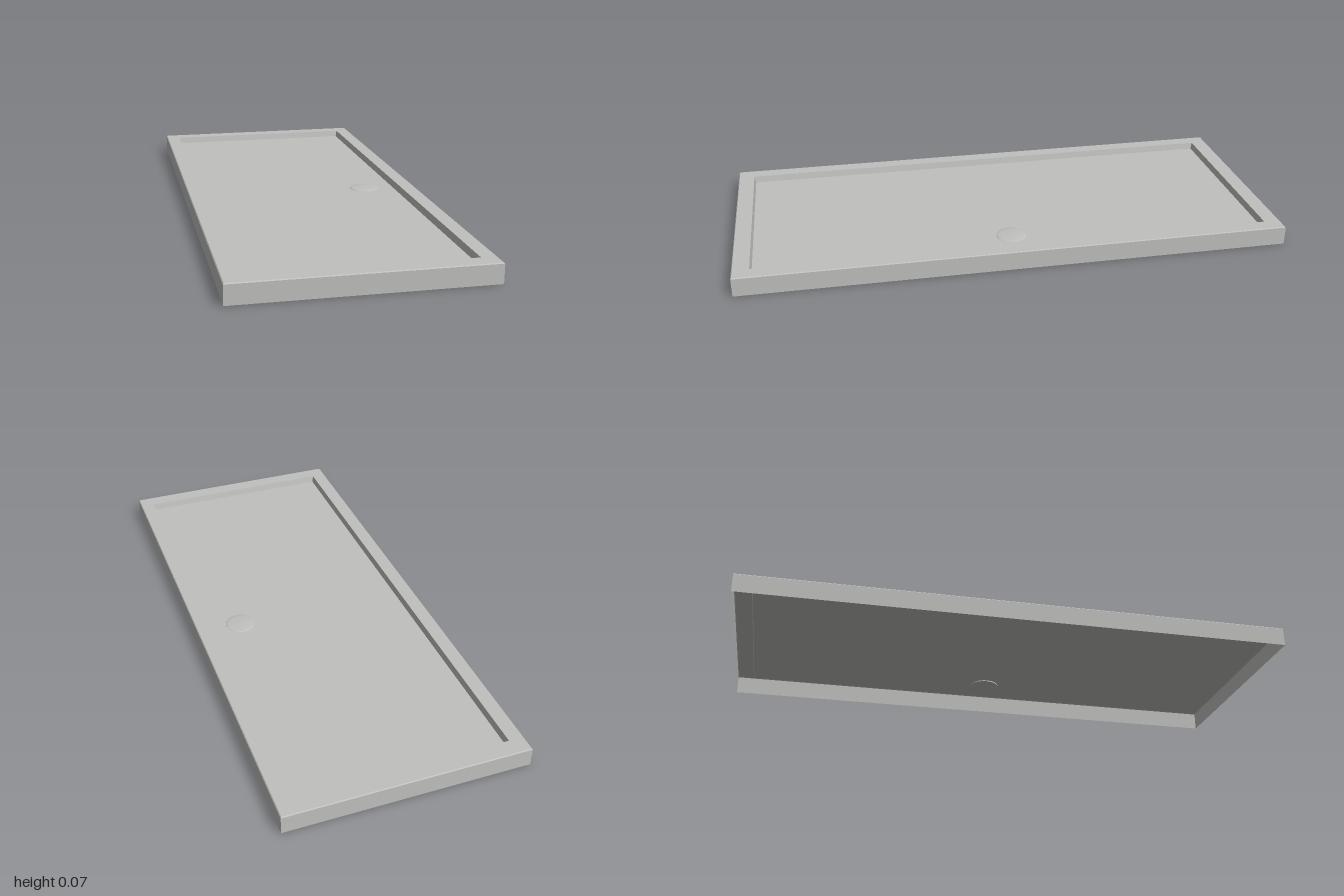
import * as THREE from 'three';

// Open shell made of rectangular bands; each loop is [halfX, halfZ, y]
function bands(loops) {
  const pos = [];
  const corner = ([hx, hz, y], i) => {
    const [sx, sz] = [[1, 1], [1, -1], [-1, -1], [-1, 1]][i % 4];
    return [sx * hx, y, sz * hz];
  };
  for (let k = 0; k < loops.length - 1; k++) {
    for (let i = 0; i < 4; i++) {
      const a = corner(loops[k], i), b = corner(loops[k], i + 1);
      const c = corner(loops[k + 1], i + 1), d = corner(loops[k + 1], i);
      pos.push(...a, ...b, ...c, ...a, ...c, ...d);
    }
  }
  const g = new THREE.BufferGeometry();
  g.setAttribute('position', new THREE.Float32BufferAttribute(pos, 3));
  g.computeVertexNormals();
  return g;
}

export function createModel() {
  const group = new THREE.Group();
  group.name = 'showerTray';
  const enamel = new THREE.MeshStandardMaterial({ color: 0xc0c0be, side: THREE.DoubleSide });
  enamel.name = 'light grey enamel';
  const add = (name, geometry, x = 0, y = 0, z = 0) => {
    const mesh = new THREE.Mesh(geometry, enamel);
    mesh.name = name;
    mesh.position.set(x, y, z);
    group.add(mesh);
  };

  const floorY = 0.045;

  // Skirt with a softened top edge, open underneath
  add('skirt', bands([[0.436, 1, 0], [0.436, 1, 0.067], [0.433, 0.997, 0.07]]));

  // Flat rim and the steep step down to the floor
  add('rim', bands([[0.433, 0.997, 0.07], [0.381, 0.939, 0.07]]));
  add('step', bands([[0.381, 0.939, 0.07], [0.376, 0.934, floorY]]));

  // Recessed standing floor
  const floor = new THREE.PlaneGeometry(0.752, 1.868);
  floor.rotateX(-Math.PI / 2);
  add('floor', floor, 0, floorY);

  // Shallow domed drain cover and the collar below it
  const dome = [[0.055, 0], [0.054, 0.002], [0.045, 0.0035], [0.025, 0.005], [0, 0.0055]]
    .map(([r, y]) => new THREE.Vector2(r, y));
  add('drainCover', new THREE.LatheGeometry(dome, 40), 0.262, floorY, 0);
  add('drainCollar', new THREE.CylinderGeometry(0.055, 0.055, 0.004, 40), 0.262, floorY - 0.002, 0);

  return group;
}
